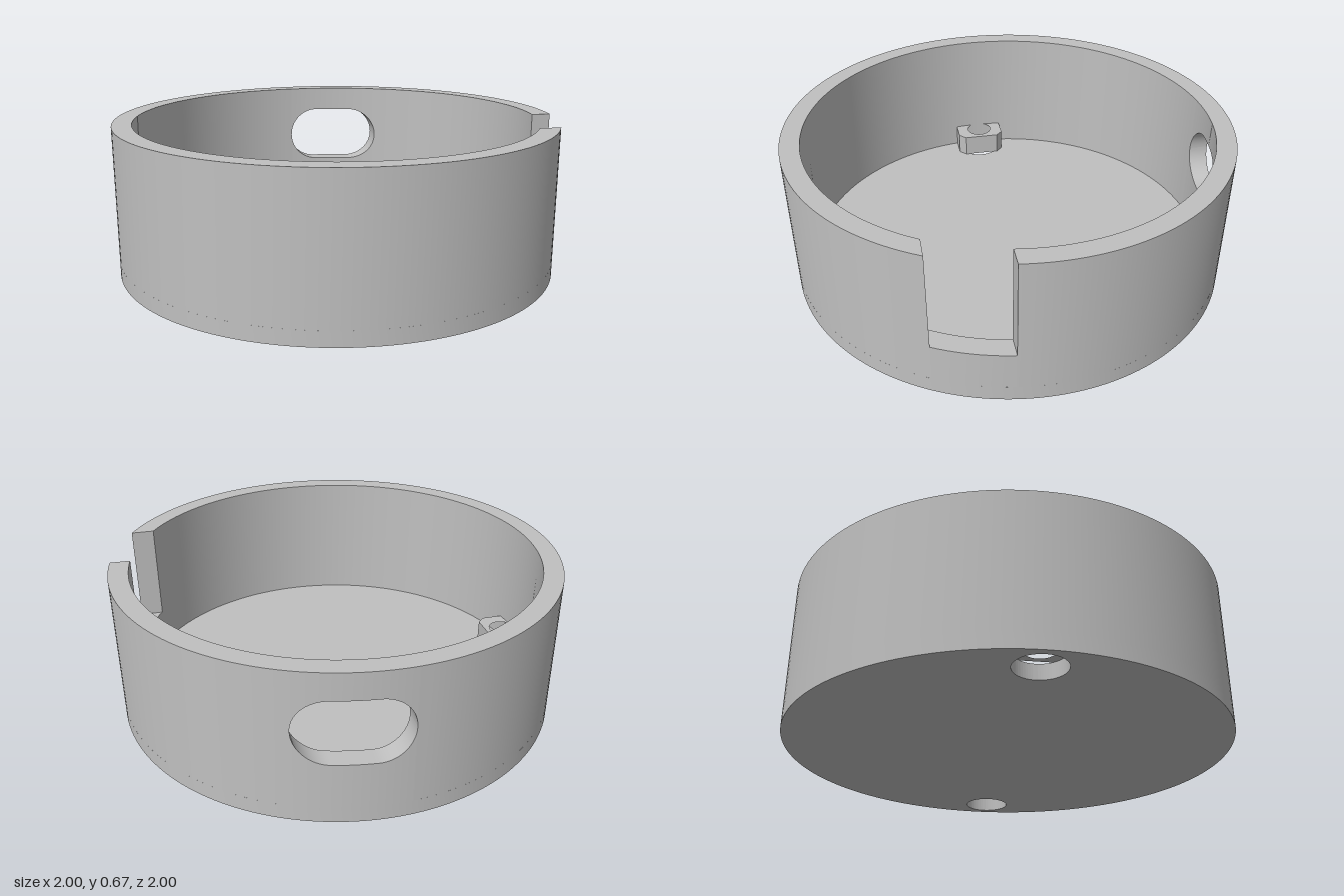
import * as THREE from 'three';
import { toCreasedNormals } from 'three/addons/utils/BufferGeometryUtils.js';

const R_OUT = 1, R_IN = 0.913;
const FLOOR = 0.067, TOP = 0.674;
const NOTCH = { z0: 0.155, z1: 0.475, y: 0.235 };
const SLOT = { x: 0.18, y: 0.4145, half: 0.23, r: 0.1415 };
const SCREW_X = 0.86;

// Angles run from the front (+z) towards +x; a cut plane meets each radius at its own angle
const angleAtZ = (z, r) => Math.acos(z / r);
const angleAtBackX = (x, r) => Math.PI - Math.asin(x / r);

// Sweeps a rectangular wall section around the axis, with a hard edge along each corner
function sweepWall(n, section) {
  const pos = [], index = [], columns = [];
  for (let j = 0; j <= n; j++) {
    const { inner, outer, y0, y1 } = section(j / n);
    const point = (r, a, y) => [r * Math.sin(a), y, r * Math.cos(a)];
    columns.push([point(R_OUT, outer, y0), point(R_OUT, outer, y1),
      point(R_IN, inner, y1), point(R_IN, inner, y0)]);
  }
  for (let k = 0; k < 4; k++) {
    const base = pos.length / 3;
    columns.forEach((c) => pos.push(...c[k], ...c[(k + 1) % 4]));
    for (let j = 0; j < n; j++) {
      const a = base + j * 2;
      index.push(a, a + 2, a + 3, a, a + 3, a + 1);
    }
  }
  // End caps
  for (const c of [columns[0], [...columns[n]].reverse()]) {
    const b = pos.length / 3;
    c.forEach((p) => pos.push(...p));
    index.push(b, b + 1, b + 2, b, b + 2, b + 3);
  }
  const g = new THREE.BufferGeometry();
  g.setAttribute('position', new THREE.Float32BufferAttribute(pos, 3));
  g.setIndex(index);
  g.computeVertexNormals();
  return g;
}

// Wall piece of constant height between two cut planes
function wallArc(n, from, to, y0, y1) {
  return sweepWall(n, (t) => ({
    inner: THREE.MathUtils.lerp(from(R_IN), to(R_IN), t),
    outer: THREE.MathUtils.lerp(from(R_OUT), to(R_OUT), t),
    y0, y1,
  }));
}

// Wall above (side = 1) or below (side = -1) the rounded slot
function slotBar(side) {
  return sweepWall(48, (t) => {
    const dx = SLOT.half * Math.cos(Math.PI * t);
    const over = Math.max(0, Math.abs(dx) - (SLOT.half - SLOT.r));
    const edge = SLOT.y + side * Math.sqrt(Math.max(0, SLOT.r ** 2 - over ** 2));
    return {
      inner: angleAtBackX(SLOT.x + dx, R_IN),
      outer: angleAtBackX(SLOT.x + dx, R_OUT),
      y0: side > 0 ? edge : FLOOR,
      y1: side > 0 ? TOP : edge,
    };
  });
}

function circlePath(x, r) {
  return new THREE.Path().absarc(x, 0, r, 0, Math.PI * 2, true);
}

// Upright plate from a plan outline
function plate(shape, y, height, curveSegments) {
  const g = new THREE.ExtrudeGeometry(shape, { depth: height, bevelEnabled: false, curveSegments });
  g.rotateX(-Math.PI / 2);
  g.translate(0, y, 0);
  return toCreasedNormals(g, 0.6);
}

export function createModel() {
  const model = new THREE.Group();
  model.name = 'roundEnclosure';
  const grey = new THREE.MeshStandardMaterial({ color: 0xc0c0c0 });
  grey.name = 'grey';
  const add = (name, geometry) => {
    const mesh = new THREE.Mesh(geometry, grey);
    mesh.name = name;
    model.add(mesh);
  };

  // Floor with two wide screw recesses
  const disc = new THREE.Shape().absarc(0, 0, R_OUT, 0, Math.PI * 2, false);
  disc.holes.push(circlePath(SCREW_X, 0.107), circlePath(-SCREW_X, 0.107));
  add('floor', plate(disc, 0, FLOOR, 128));

  // Wall, interrupted by the cable notch and the slot
  const notchFront = (r) => angleAtZ(NOTCH.z1, r);
  const notchBack = (r) => angleAtZ(NOTCH.z0, r);
  const slotLeft = (r) => angleAtBackX(SLOT.x + SLOT.half, r);
  const slotRight = (r) => angleAtBackX(SLOT.x - SLOT.half, r);
  add('mainWall', wallArc(96, slotRight, (r) => notchFront(r) + Math.PI * 2, FLOOR, TOP));
  add('notchSill', wallArc(10, notchFront, notchBack, FLOOR, NOTCH.y));
  add('leftWall', wallArc(32, notchBack, slotLeft, FLOOR, TOP));
  add('slotLowerWall', slotBar(-1));
  add('slotUpperWall', slotBar(1));

  // Screw bosses, chamfered on the inner side and running into the wall
  for (const s of [1, -1]) {
    const outline = [[0.95, -0.12], [0.95, 0.12], [0.807, 0.12], [0.773, 0.087], [0.773, -0.087], [0.807, -0.12]];
    const boss = new THREE.Shape(outline.map(([x, z]) => new THREE.Vector2(s * x, z)));
    boss.holes.push(circlePath(s * SCREW_X, 0.063));
    add(s > 0 ? 'leftScrewBoss' : 'rightScrewBoss', plate(boss, FLOOR, 0.105, 32));
  }
  return model;
}
